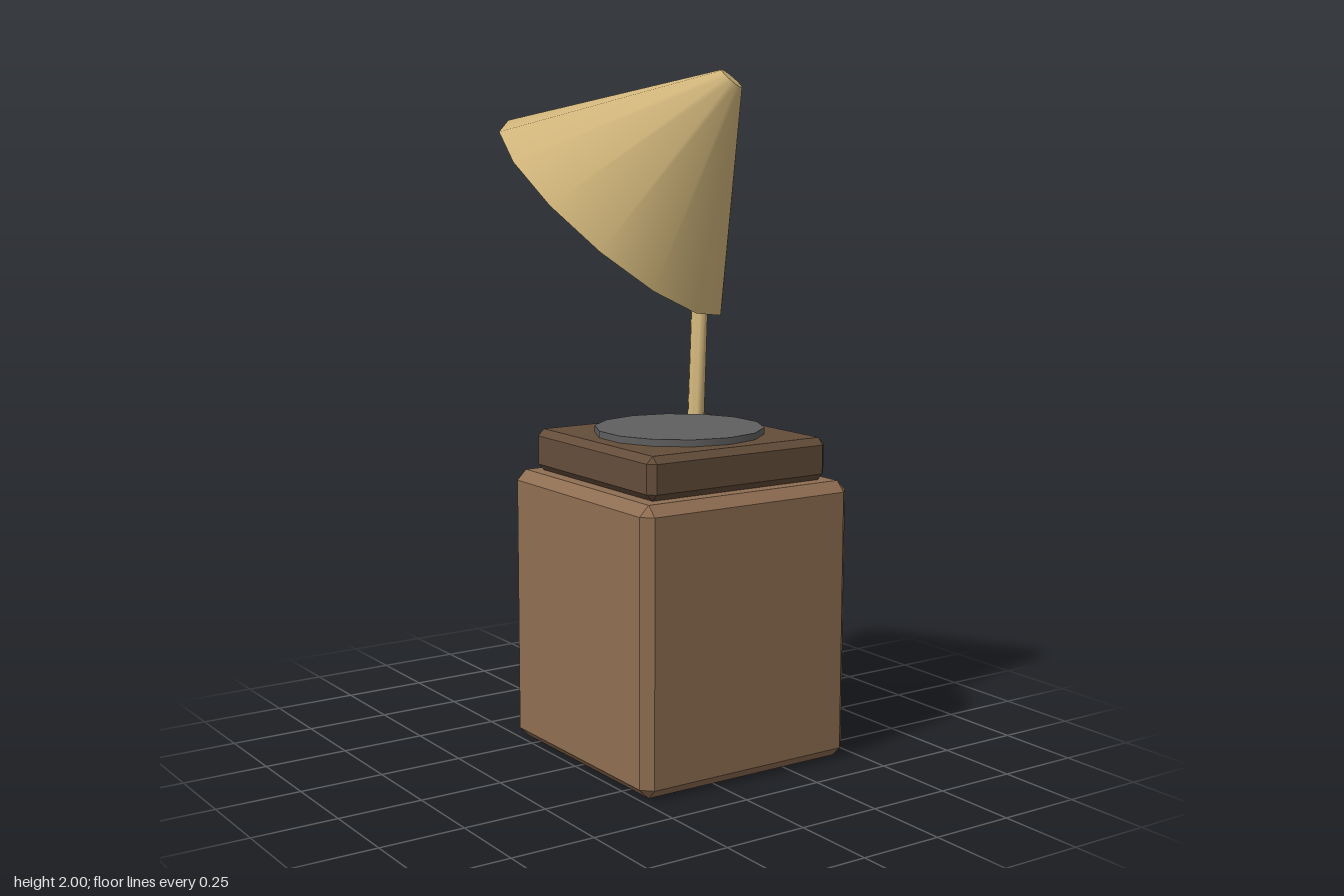
import * as THREE from 'three';
import { toCreasedNormals } from 'three/addons/utils/BufferGeometryUtils.js';
import { ConvexGeometry } from 'three/addons/geometries/ConvexGeometry.js';

const material = (name, color) => {
  const m = new THREE.MeshStandardMaterial({ color });
  m.name = name;
  return m;
};

// Box with a single flat chamfer c on every edge, standing on y = 0
function chamferBox(w, h, d, c) {
  const points = [];
  for (const x of [-1, 1]) for (const y of [-1, 1]) for (const z of [-1, 1]) {
    for (let axis = 0; axis < 3; axis++) {
      const inset = [c, c, c];
      inset[axis] = 0;
      points.push(new THREE.Vector3(
        x * (w / 2 - inset[0]), h / 2 + y * (h / 2 - inset[1]), z * (d / 2 - inset[2])));
    }
  }
  return new ConvexGeometry(points);
}

// Rod following three points in the local xy plane, mitred at the middle one
function bentRod(path, radius, sides) {
  const geometry = new THREE.CylinderGeometry(radius, radius, 1, sides, 2);
  const normal = (a, b) => {
    const d = b.clone().sub(a).normalize();
    return new THREE.Vector2(d.y, -d.x);
  };
  const first = normal(path[0], path[1]);
  const last = normal(path[1], path[2]);
  const mitre = first.clone().add(last).normalize();
  mitre.divideScalar(mitre.dot(first));
  const normals = [first, mitre, last];
  const pos = geometry.attributes.position;
  for (let i = 0; i < pos.count; i++) {
    const ring = Math.round(pos.getY(i) * 2) + 1;
    const a = pos.getX(i);
    pos.setXY(i, path[ring].x + normals[ring].x * a, path[ring].y + normals[ring].y * a);
  }
  return toCreasedNormals(geometry, 0.7);
}

export function createModel() {
  const group = new THREE.Group();
  const wood = material('wood', 0x8f6e52);
  const darkWood = material('dark wood', 0x644d3a);
  const vinyl = material('record grey', 0x5f5f60);
  const brass = material('brass', 0xcfb47a);

  const add = (name, geometry, mat, x, y, z) => {
    const mesh = new THREE.Mesh(geometry, mat);
    mesh.name = name;
    mesh.position.set(x, y, z);
    group.add(mesh);
    return mesh;
  };

  // Cabinet, turntable deck and record share one centre line
  add('cabinet', chamferBox(0.72, 0.83, 0.72, 0.03), wood, 0.11, 0, 0.01);
  add('deck', chamferBox(0.62, 0.125, 0.62, 0.02), darkWood, 0.11, 0.83, 0.01);
  add('record', new THREE.CylinderGeometry(0.25, 0.25, 0.02, 14), vinyl, 0.11, 0.965, 0.01);

  // Bent arm rising from the back corner of the deck
  const armPath = [[0.361, 0.95], [0.431, 1.345], [0.233, 1.49]].map(p => new THREE.Vector2(...p));
  add('hornArm', bentRod(armPath, 0.026, 10), brass, 0.06, 0, 0.06).rotation.y = Math.PI / 4;

  // Horn: closed tapered cone, tilted with its narrow end up and forward
  const horn = new THREE.CylinderGeometry(0.038, 0.412, 0.514, 14, 1, false, 0.165);
  add('horn', horn, brass, 0.01, 1.783, 0.115).rotation.set(0.595, 0, -0.442);

  return group;
}
